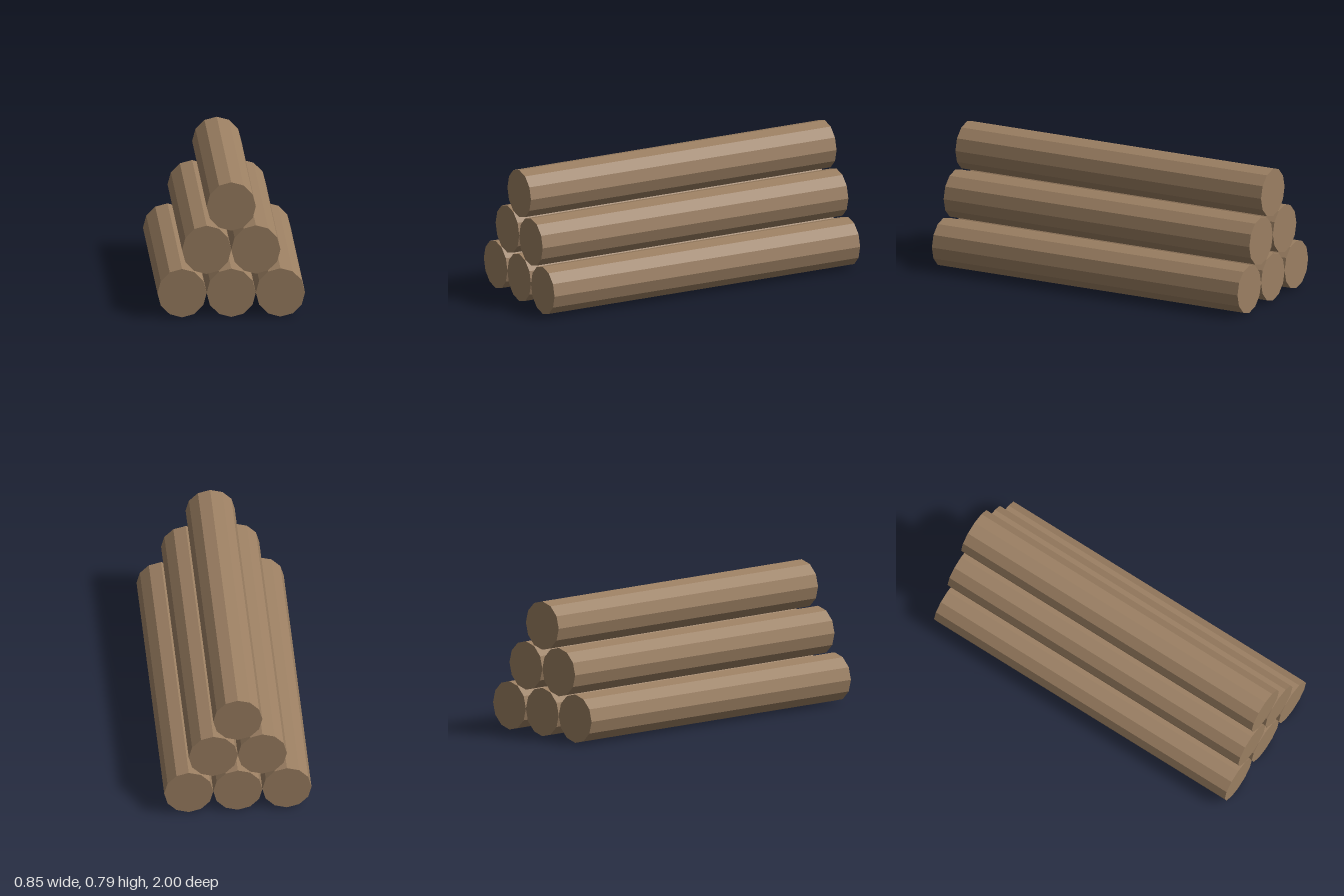
import * as THREE from 'three';

const RADIUS = 0.1415;
const ROW_RISE = 0.2525;
const LENGTH = 2;

export function createModel() {
  const group = new THREE.Group();
  group.name = 'logPile';

  const wood = new THREE.MeshStandardMaterial({ color: 0x9b7f62 });
  wood.name = 'brown wood';
  wood.flatShading = true;

  // Twelve-sided log lying along z, with a corner pointing straight up
  const logGeometry = new THREE.CylinderGeometry(RADIUS, RADIUS, LENGTH, 12);
  logGeometry.rotateX(Math.PI / 2);

  // Pyramid stack: three logs, then two, then one
  for (let row = 0; row < 3; row++) {
    const count = 3 - row;
    for (let i = 0; i < count; i++) {
      const log = new THREE.Mesh(logGeometry, wood);
      log.name = `logRow${row + 1}Number${i + 1}`;
      log.position.set((2 * i - (count - 1)) * RADIUS, RADIUS + row * ROW_RISE, 0);
      group.add(log);
    }
  }
  return group;
}
